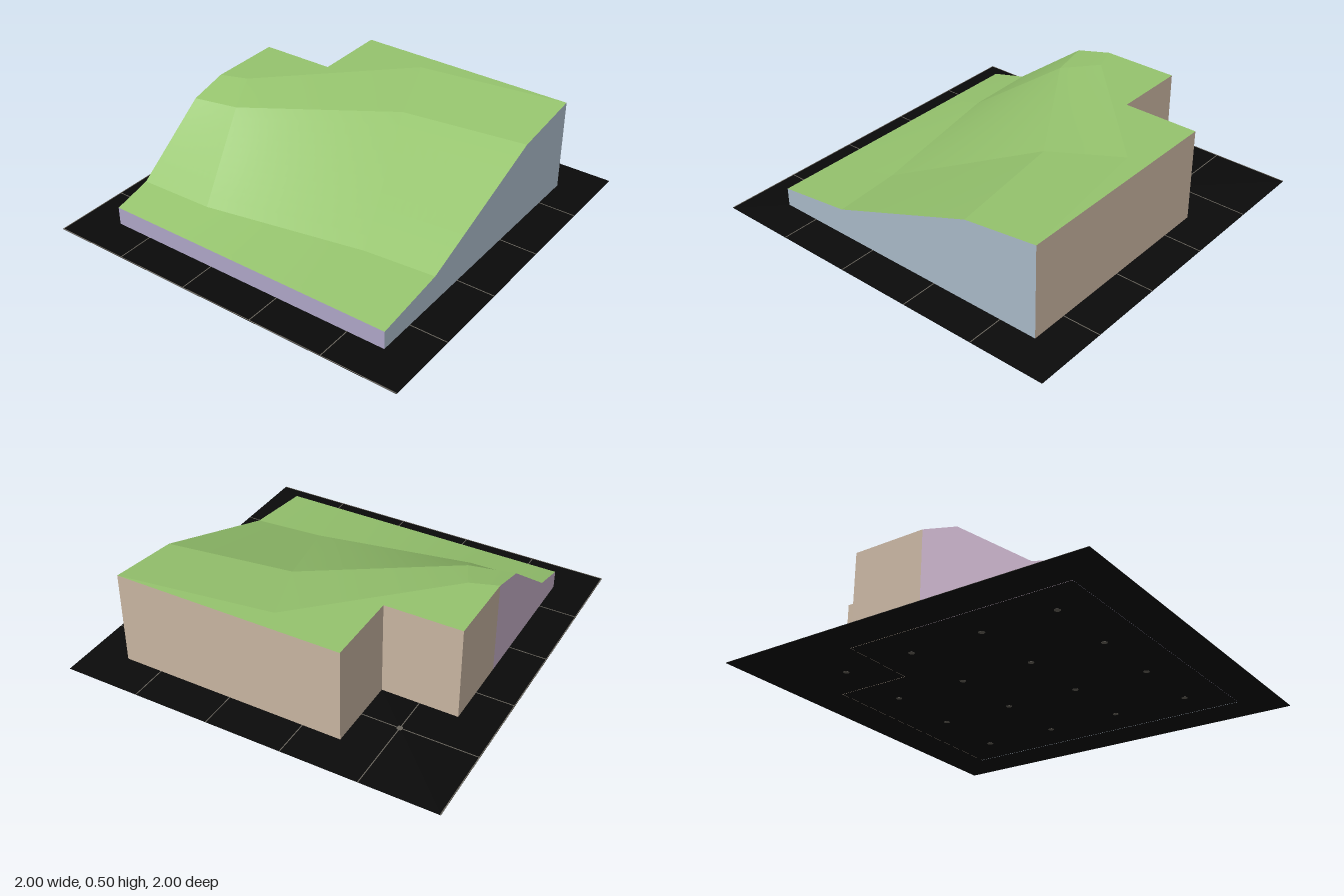
import * as THREE from 'three';

const mat = (name, color) => {
  const m = new THREE.MeshStandardMaterial({ color, side: THREE.DoubleSide });
  m.name = name;
  return m;
};

export function createModel() {
  const group = new THREE.Group();
  const grass = mat('grass green', 0x96c46e);
  const tan = mat('cut wall tan', 0xc8b5a1);
  const blue = mat('front wall blue', 0xaabac8);
  const mauve = mat('back wall mauve', 0xc8b1c9);
  const violet = mat('low wall violet', 0xaea6c8);
  const black = mat('base black', 0x0a0a0a);
  const grey = mat('grid grey', 0x68645c);

  const add = (name, geometry, material, x = 0, y = 0, z = 0) => {
    const mesh = new THREE.Mesh(geometry, material);
    mesh.name = name;
    mesh.position.set(x, y, z);
    group.add(mesh);
    return mesh;
  };

  // Base sheet with a thin grid and a small stud at every crossing
  add('baseSheet', new THREE.BoxGeometry(2, 0.002, 2), black, 0, 0.002, 0);
  const gridLine = new THREE.BoxGeometry(0.005, 0.001, 2);
  const stud = new THREE.CylinderGeometry(0.016, 0.016, 0.004, 8);
  for (const a of [-0.9975, -0.6, -0.2, 0.2, 0.6]) {
    add('gridLineLengthwise', gridLine, grey, a, 0.003, 0);
    add('gridLineCrosswise', gridLine, grey, 0, 0.003, a).rotation.y = Math.PI / 2;
    for (const b of [-0.6, -0.2, 0.2, 0.6]) {
      if (Math.abs(a) < 0.9) add('gridStud', stud, grey, a, 0.002, b);
    }
  }

  // Terrain break lines from back to front: low edge, foot, shoulder, crest
  const breaks = [
    { y: 0.1, line: [[-0.8, -0.8], [-0.8, -0.4], [-0.8, 0.5], [-0.8, 0.8]] },
    { y: 0.15, line: [[-0.6, -0.8], [-0.59, -0.4], [-0.43, 0.43], [-0.4, 0.8]] },
    { y: 0.45, line: [[-0.2, -0.8], [-0.15, -0.57], [0.31, 0.14], [0.4, 0.8]] },
    { y: 0.5, line: [[0, -0.8], [0.05, -0.66], [0.69, 0], [0.8, 0.8]] },
  ];

  // Ruled patch between neighbouring break lines
  const patch = (lower, upper, k) => {
    const n = 10, pos = [], index = [];
    const along = (b, t) => new THREE.Vector3(
      THREE.MathUtils.lerp(b.line[k][0], b.line[k + 1][0], t), b.y,
      THREE.MathUtils.lerp(b.line[k][1], b.line[k + 1][1], t));
    for (let i = 0; i <= n; i++) {
      for (let j = 0; j <= n; j++) {
        pos.push(...along(lower, i / n).lerp(along(upper, i / n), j / n).toArray());
        if (i < n && j < n) {
          const a = i * (n + 1) + j, b = a + n + 1;
          index.push(a, b, a + 1, b, b + 1, a + 1);
        }
      }
    }
    const g = new THREE.BufferGeometry();
    g.setAttribute('position', new THREE.Float32BufferAttribute(pos, 3));
    g.setIndex(index);
    g.computeVertexNormals();
    return g;
  };
  for (let b = 0; b < 3; b++) {
    for (let k = 0; k < 3; k++) add('terrainSlope', patch(breaks[b], breaks[b + 1], k), grass);
  }

  const face = (pts) => new THREE.ShapeGeometry(
    new THREE.Shape(pts.map(([x, y]) => new THREE.Vector2(x, y))));

  // Level plateau behind the crest, with the notched corner
  const plateau = [[0, -0.8], [0.05, -0.66], [0.69, 0], [0.8, 0.8],
    [0.8, -0.4], [0.4, -0.4], [0.4, -0.8]].map(([x, z]) => [x, -z]);
  add('plateau', face(plateau), grass, 0, 0.5, 0).rotation.x = -Math.PI / 2;

  // Upright cut walls: outline as [distance along wall, height]
  const wall = (name, material, pts, x, z, turn) => {
    add(name, face(pts), material, x, 0, z).rotation.y = turn;
  };
  const block = (u0, u1, h) => [[u0, 0], [u1, 0], [u1, h], [u0, h]];
  wall('frontWall', blue, [[-0.8, 0], [0.8, 0], [0.8, 0.5], [0.4, 0.45],
    [-0.4, 0.15], [-0.8, 0.1]], 0, 0.8, 0);
  wall('backSlopeWall', mauve, [[0, 0], [0.8, 0], [0.8, 0.1], [0.6, 0.15],
    [0.2, 0.45], [0, 0.5]], 0, -0.8, Math.PI);
  wall('backHighWall', tan, block(-0.4, 0, 0.5), 0, -0.8, Math.PI);
  wall('notchBackWall', tan, block(-0.8, -0.4, 0.5), 0, -0.4, Math.PI);
  wall('notchSideWall', tan, block(0.4, 0.8, 0.5), 0.4, 0, Math.PI / 2);
  wall('highSideWall', tan, block(-0.8, 0.4, 0.5), 0.8, 0, Math.PI / 2);
  wall('lowSideWall', violet, block(-0.8, 0.8, 0.1), -0.8, 0, -Math.PI / 2);

  return group;
}
